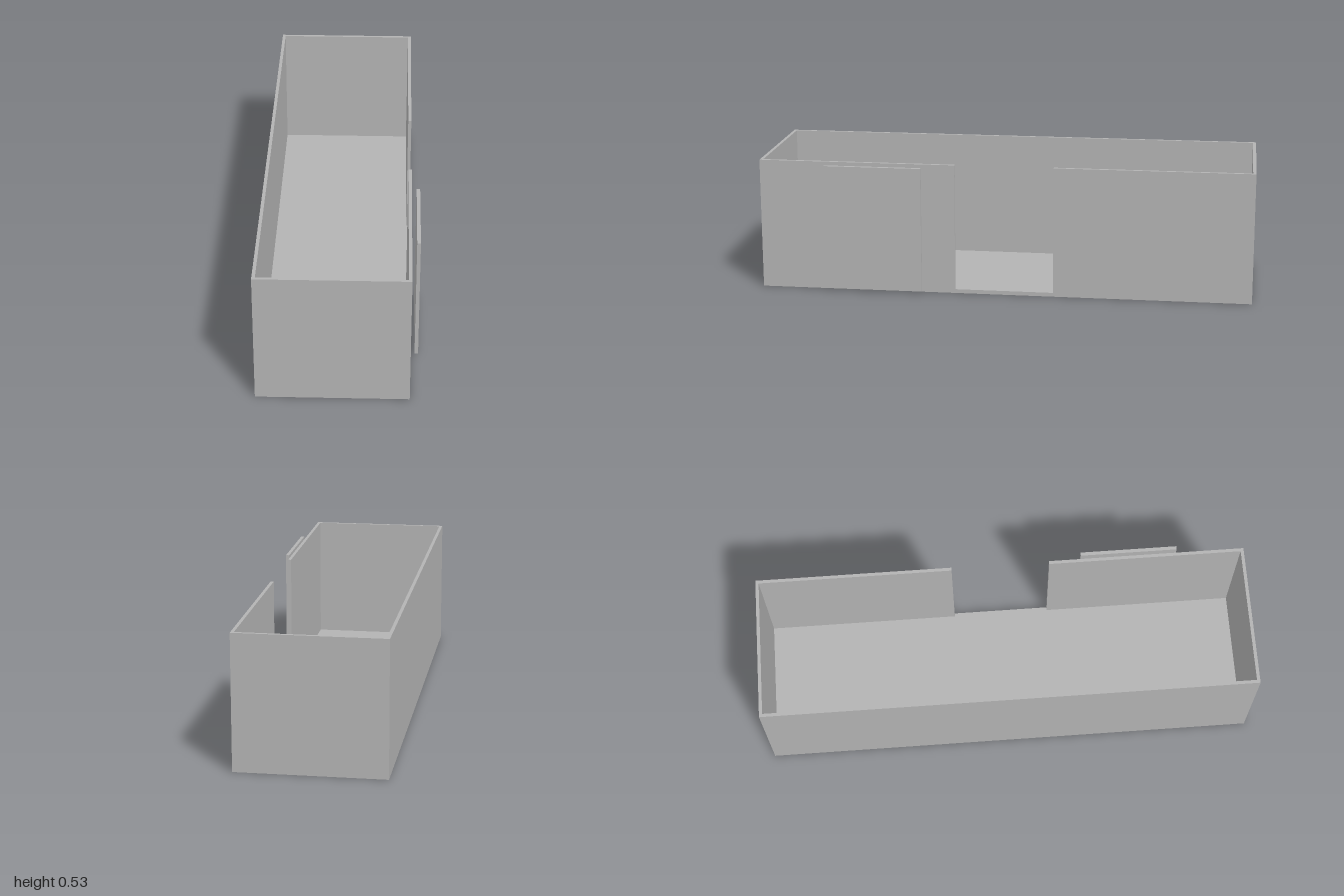
import * as THREE from 'three';

export function createModel() {
  const group = new THREE.Group();
  const grey = new THREE.MeshStandardMaterial({ color: 0xb3b3b3 });
  grey.name = 'plain grey';

  // Box given by its lower and upper corners
  const slab = (name, [x0, y0, z0], [x1, y1, z1]) => {
    const mesh = new THREE.Mesh(new THREE.BoxGeometry(x1 - x0, y1 - y0, z1 - z0), grey);
    mesh.position.set((x0 + x1) / 2, (y0 + y1) / 2, (z0 + z1) / 2);
    mesh.name = name;
    group.add(mesh);
  };

  const left = 0.276, right = -0.309, top = 0.534, t = 0.013, floor = 0.016;

  // Floor with closed long wall and two end walls
  slab('floor', [right, 0, -1], [left, floor, 1]);
  slab('longWall', [right, floor, -1], [right + t, top, 1]);
  slab('frontWall', [right + t, floor, 1 - t], [left, top, 1]);
  slab('backWall', [right + t, floor, -1], [left, top, -1 + t]);

  // Wall halves either side of the doorway
  slab('doorwayWallFront', [left - t, floor, 0.2], [left, top, 1 - t]);
  slab('doorwayWallBack', [left - t, floor, -1 + t], [left, top, -0.2]);

  // Sliding door panel hanging just outside the wall
  slab('slidingDoor', [0.295, 0.013, 0.333], [0.309, 0.523, 0.728]);

  return group;
}
